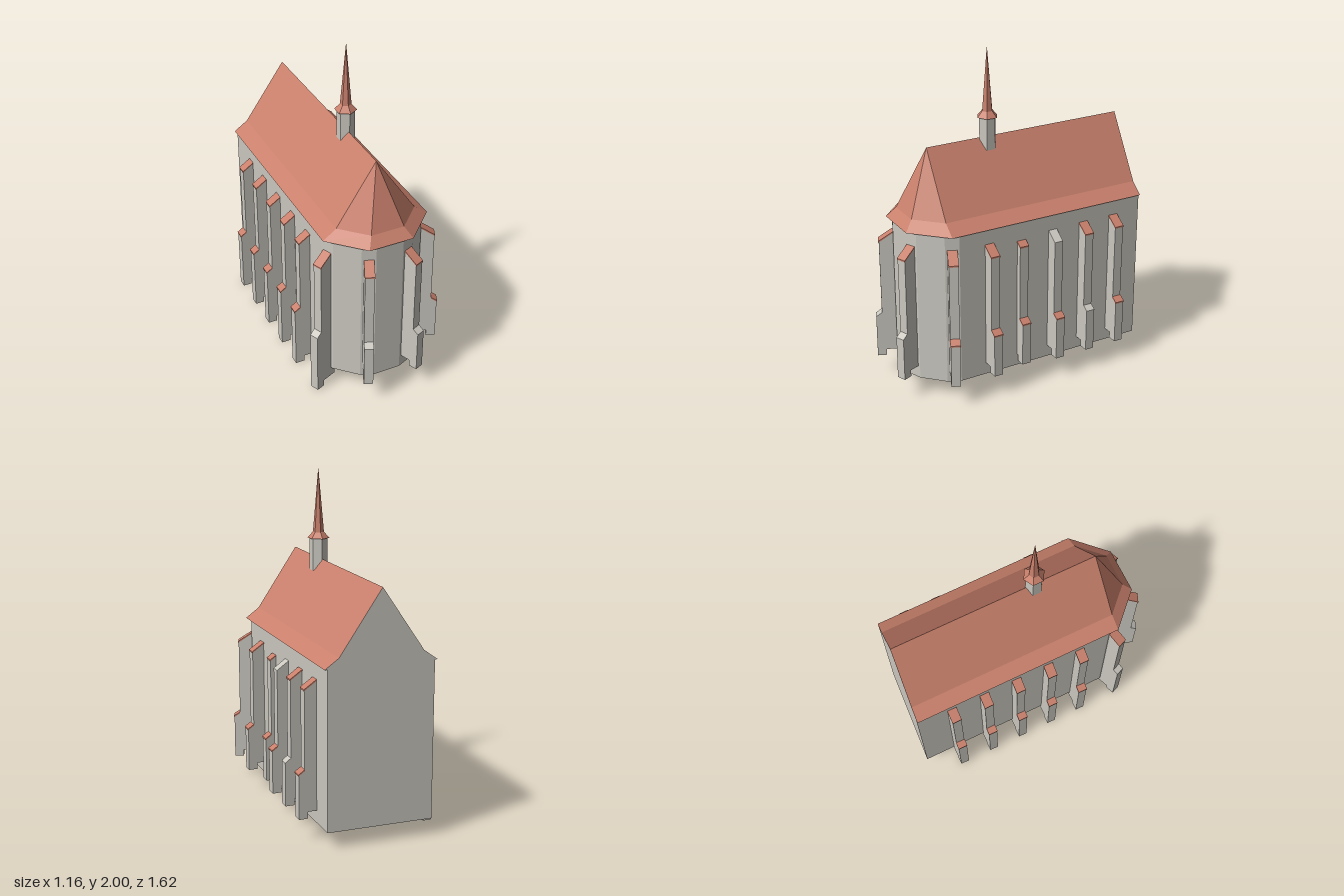
import * as THREE from 'three';

const wallMat = new THREE.MeshStandardMaterial({ color: 0xcbc8c0 });
wallMat.name = 'stone';
const roofMat = new THREE.MeshStandardMaterial({ color: 0xc9806c });
roofMat.name = 'roof tile';

function mesh(name, geometry, material) {
  const m = new THREE.Mesh(geometry, material);
  m.name = name;
  return m;
}

// Flat-shaded geometry from a list of triangles (three Vector3 each)
function faces(triangles) {
  const g = new THREE.BufferGeometry().setFromPoints(triangles.flat());
  g.computeVertexNormals();
  return g;
}

const EAVE = 1.04, KNEE = 1.1, RIDGE = 1.47;
const backZ = (x) => -1.152 + 0.06 * x; // slightly skewed back wall

// Plan of nave with three sides of an octagon at the front, from back left round to back right
function plan(half) {
  const r = half / Math.cos(Math.PI / 8);
  const pts = [[-half, backZ(-half)]];
  for (const deg of [157.5, 112.5, 67.5, 22.5]) {
    const a = THREE.MathUtils.degToRad(deg);
    pts.push([r * Math.cos(a), r * Math.sin(a)]);
  }
  pts.push([half, backZ(half)]);
  return pts;
}

function makeWalls() {
  const p = plan(0.313);
  const outline = [p[0]];
  // Cut the apse corners with small chamfers
  for (let i = 1; i <= 4; i++) {
    for (const q of [p[i - 1], p[i + 1]]) {
      const dx = q[0] - p[i][0], dz = q[1] - p[i][1], t = 0.045 / Math.hypot(dx, dz);
      outline.push([p[i][0] + dx * t, p[i][1] + dz * t]);
    }
  }
  outline.push(p[5]);
  const shape = new THREE.Shape(outline.map(([x, z]) => new THREE.Vector2(x, -z)));
  const g = new THREE.ExtrudeGeometry(shape, { depth: EAVE + 0.003 - 0.1, bevelEnabled: false });
  g.rotateX(-Math.PI / 2).translate(0, 0.1, 0);
  return mesh('walls', g, wallMat);
}

function makeRoof() {
  const apex = new THREE.Vector3(0, RIDGE, 0.125);
  const backTop = new THREE.Vector3(0, RIDGE, backZ(0));
  const eave = plan(0.33).map(([x, z]) => new THREE.Vector3(x, EAVE, z));
  const top = eave.map((_, i) => (i === 0 || i === 5 ? backTop : apex));
  const knee = eave.map((e, i) => top[i].clone().lerp(e, 0.75).setY(KNEE));
  const tris = [];
  for (let i = 0; i < 5; i++) {
    const j = i + 1;
    tris.push([eave[i], eave[j], knee[j]], [eave[i], knee[j], knee[i]]);
    tris.push([knee[i], knee[j], top[j]]);
    if (top[i] !== top[j]) tris.push([knee[i], top[j], top[i]]);
  }
  // Underside of the eaves
  for (let i = 1; i < 5; i++) tris.push([eave[0], eave[i + 1], eave[i]]);

  const gable = [
    [backTop, knee[5], knee[0]],
    [knee[0], knee[5], eave[5]],
    [knee[0], eave[5], eave[0]],
  ];
  const roof = new THREE.Group();
  roof.name = 'roof';
  roof.add(mesh('roofSlopes', faces(tris), roofMat), mesh('backGable', faces(gable), wallMat));
  return roof;
}

function extrudeProfile(points, width) {
  const shape = new THREE.Shape(points.map(([x, y]) => new THREE.Vector2(x, y)));
  return new THREE.ExtrudeGeometry(shape, { depth: width, bevelEnabled: false })
    .translate(0, 0, -width / 2);
}

// Two-stage buttress reaching out along +x, with tiles on its sloped ledges
function makeButtress(bottom, upperTile = true, lowerTile = true) {
  const IN = -0.04, MID = 0.072, OUT = 0.107, W = 0.055;
  const b = new THREE.Group();
  b.name = 'buttress';
  b.add(mesh('buttressStone', extrudeProfile([
    [IN, bottom + 0.04], [MID - 0.02, bottom + 0.04], [MID - 0.02, bottom], [OUT, bottom],
    [OUT, 0.4], [MID, 0.425], [MID, 0.89], [0, 0.94], [IN, 0.94],
  ], W), wallMat));
  const tile = (x0, y0, x1, y1) => b.add(mesh('buttressTile', extrudeProfile([
    [x0, y0 - 0.004], [x1 + 0.003, y1 - 0.004], [x1 + 0.003, y1 + 0.005], [x0, y0 + 0.005],
  ], W + 0.004), roofMat));
  if (upperTile) tile(-0.01, 0.947, MID, 0.89);
  if (lowerTile) tile(MID, 0.425, OUT, 0.4);
  return b;
}

function makeButtresses() {
  const all = new THREE.Group();
  all.name = 'buttresses';
  const LOW = 0, HIGH = 0.135;
  // Five along each side; the ground is lower on the right side
  for (let i = 0; i < 5; i++) {
    const z = -0.95 + 0.211 * i;
    const right = makeButtress(LOW);
    right.position.set(-0.308, 0, z);
    right.rotation.y = Math.PI;
    const left = makeButtress(HIGH, i !== 2, i !== 1);
    left.position.set(i === 3 ? 0.275 : 0.313, 0, z);
    all.add(right, left);
  }
  // One on each corner of the apse
  [22.5, 67.5, 112.5, 157.5].forEach((deg, i) => {
    const a = THREE.MathUtils.degToRad(deg);
    const b = makeButtress(i === 3 ? LOW : HIGH, true, i === 0);
    b.position.set(0.333 * Math.cos(a), 0, 0.333 * Math.sin(a));
    b.rotation.y = -a;
    all.add(b);
  });
  return all;
}

// Hexagonal ridge turret with a flared spire
function makeTurret() {
  const t = new THREE.Group();
  t.name = 'ridgeTurret';
  const hex = (name, rTop, rBottom, y0, y1, mat) => {
    const g = new THREE.CylinderGeometry(rTop, rBottom, y1 - y0, 6).toNonIndexed();
    g.computeVertexNormals();
    const m = mesh(name, g, mat);
    m.position.y = (y0 + y1) / 2;
    t.add(m);
  };
  hex('turretBody', 0.053, 0.053, 1.4, 1.592, wallMat);
  hex('spireSkirt', 0.033, 0.065, 1.592, 1.628, roofMat);
  hex('spire', 0.001, 0.033, 1.628, 2, roofMat);
  t.position.set(0.005, 0, -0.265);
  return t;
}

export function createModel() {
  const chapel = new THREE.Group();
  chapel.name = 'chapel';
  chapel.add(makeWalls(), makeRoof(), makeButtresses(), makeTurret());
  chapel.rotation.y = 0.328;
  chapel.position.set(0.127, 0, 0.369);
  const model = new THREE.Group();
  model.name = 'model';
  model.add(chapel);
  return model;
}
